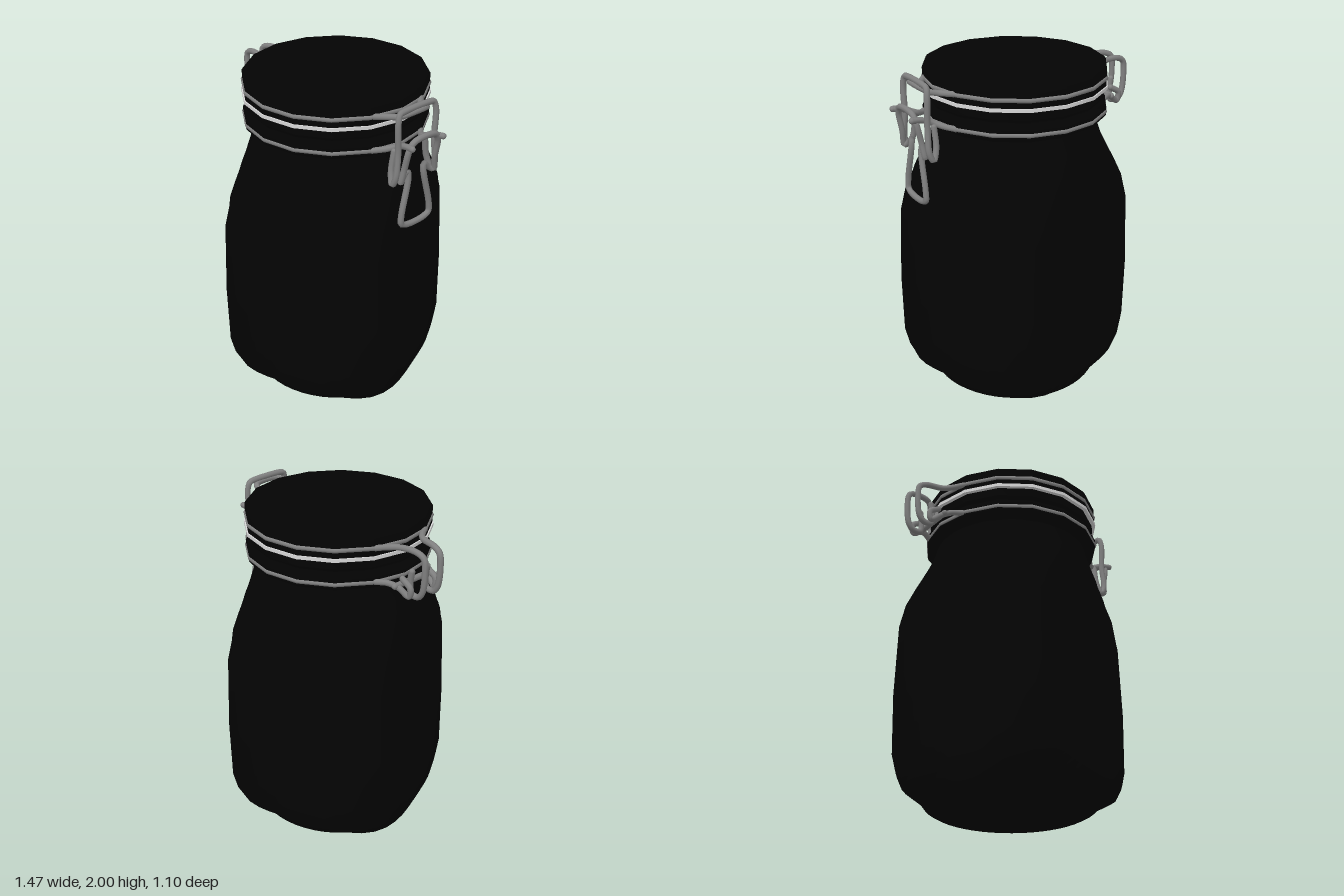
import * as THREE from 'three';
import { toCreasedNormals } from 'three/addons/utils/BufferGeometryUtils.js';

const glass = new THREE.MeshStandardMaterial({ name: 'blackGlass', color: 0x030303 });
const steel = new THREE.MeshStandardMaterial({ name: 'steelWire', color: 0x808080 });
const rubber = new THREE.MeshStandardMaterial({ name: 'paleGasket', color: 0xd8d8d8 });

const FACETS = 16;
const WIRE = 0.018;

function mesh(name, geometry, material) {
  const m = new THREE.Mesh(geometry, material);
  m.name = name;
  return m;
}

// Loft of superellipse rings: [height, half width, squareness exponent]
function loft(sections, n = 48) {
  const pos = [], idx = [];
  sections.forEach(([y, h, e], i) => {
    for (let j = 0; j < n; j++) {
      const t = (j / n) * Math.PI * 2, c = Math.cos(t), s = Math.sin(t);
      const r = h * Math.pow(Math.abs(c) ** e + Math.abs(s) ** e, -1 / e);
      pos.push(r * c, y, r * s);
      if (i === 0) continue;
      const a = (i - 1) * n + j, b = (i - 1) * n + ((j + 1) % n);
      idx.push(a, a + n, b, b, a + n, b + n);
    }
  });
  const g = new THREE.BufferGeometry();
  g.setAttribute('position', new THREE.Float32BufferAttribute(pos, 3));
  g.setIndex(idx);
  return toCreasedNormals(g, 0.8);
}

function lathe(profile) {
  const points = profile.map(([r, y]) => new THREE.Vector2(r, y));
  return toCreasedNormals(new THREE.LatheGeometry(points, FACETS), 0.6);
}

// Bent wire through points given as [outward, up, sideways], ends capped by spheres
function wire(name, points, closed = false) {
  const g = new THREE.Group();
  g.name = name;
  const pts = points.map((p) => new THREE.Vector3(...p));
  const curve = new THREE.CatmullRomCurve3(pts, closed, 'centripetal');
  g.add(mesh(name + 'Rod', new THREE.TubeGeometry(curve, points.length * 7, WIRE, 8, closed), steel));
  if (!closed) {
    for (const p of [pts[0], pts[pts.length - 1]]) {
      const end = mesh(name + 'End', new THREE.SphereGeometry(WIRE, 8, 6), steel);
      end.position.copy(p);
      g.add(end);
    }
  }
  return g;
}

const flip = (points) => points.map(([u, y, v]) => [u, y, -v]);
// Joins a half path to its mirror image
const mirrored = (half) => [...half, ...flip(half).reverse()];

function hoop(name, y) {
  const m = mesh(name, new THREE.TorusGeometry(0.532, 0.016, 8, FACETS), steel);
  m.rotation.x = Math.PI / 2;
  m.position.y = y;
  return m;
}

export function createModel() {
  const model = new THREE.Group();
  model.name = 'clipTopJar';

  // Square jar that turns round at the base and neck
  model.add(mesh('jarBody', loft([
    [0.025, 0.001, 2], [0.025, 0.38, 2], [0.0, 0.44, 2], [0.0, 0.475, 2],
    [0.015, 0.5, 2.05], [0.05, 0.51, 2.4], [0.1, 0.548, 3.6], [0.17, 0.55, 5],
    [0.28, 0.55, 7], [0.65, 0.544, 9], [1.1, 0.53, 9.5], [1.25, 0.525, 6],
    [1.36, 0.523, 3.6], [1.46, 0.52, 2.5], [1.55, 0.505, 2.1], [1.62, 0.488, 2],
    [1.675, 0.475, 2],
  ]), glass));

  // Rim, lid and sealing ring
  model.add(mesh('jarRim', lathe([
    [0.47, 1.665], [0.53, 1.695], [0.542, 1.71], [0.542, 1.76],
    [0.525, 1.783], [0.505, 1.788], [0.505, 1.805],
  ]), glass));
  model.add(mesh('lid', lathe([
    [0, 1.795], [0.51, 1.795], [0.525, 1.815], [0.525, 1.865],
    [0.54, 1.88], [0.54, 1.988], [0.532, 2], [0, 2],
  ]), glass));
  const gasket = mesh('gasket', new THREE.CylinderGeometry(0.548, 0.548, 0.02, FACETS), rubber);
  gasket.position.y = 1.875;
  model.add(gasket);
  model.add(hoop('lidHoop', 1.93), hoop('neckHoop', 1.73));

  // Clamp: lid hook, pivot arms, bail and pull handle
  const clamp = new THREE.Group();
  clamp.name = 'clamp';
  clamp.rotation.y = -Math.PI / 8;
  clamp.add(wire('lidHook', mirrored([
    [0.5, 1.93, 0.18], [0.56, 1.93, 0.12], [0.61, 1.94, 0.1], [0.64, 1.955, 0.08],
  ])));
  const arm = [
    [0.5, 1.73, 0.19], [0.55, 1.74, 0.14], [0.6, 1.76, 0.105],
    [0.67, 1.79, 0.11], [0.735, 1.8, 0.12],
  ];
  clamp.add(wire('pivotArmLeft', arm), wire('pivotArmRight', flip(arm)));
  clamp.add(wire('bail', mirrored([
    [0.6, 1.74, 0.12], [0.6, 1.62, 0.14], [0.625, 1.555, 0.155], [0.65, 1.6, 0.155],
    [0.65, 1.75, 0.14], [0.65, 1.93, 0.145], [0.645, 1.975, 0.13], [0.645, 1.982, 0.1],
  ])));
  clamp.add(wire('pullHandle', mirrored([
    [0.66, 1.285, 0.07], [0.66, 1.305, 0.11], [0.66, 1.36, 0.11], [0.655, 1.58, 0.06],
    [0.65, 1.62, 0.065], [0.65, 1.59, 0.1], [0.665, 1.57, 0.13], [0.68, 1.66, 0.12],
    [0.705, 1.78, 0.11], [0.71, 1.82, 0.08],
  ]), true));
  model.add(clamp);

  // Hinge on the opposite side
  const hinge = new THREE.Group();
  hinge.name = 'hinge';
  hinge.rotation.y = Math.PI - Math.PI / 8;
  const hingeArm = [
    [0.5, 1.93, 0.19], [0.54, 1.93, 0.13], [0.59, 1.93, 0.085], [0.69, 1.925, 0.065],
    [0.735, 1.9, 0.06], [0.745, 1.82, 0.06], [0.73, 1.7, 0.06], [0.7, 1.665, 0.06],
    [0.65, 1.67, 0.06], [0.64, 1.73, 0.06], [0.65, 1.8, 0.06],
  ];
  const hingeEye = [
    [0.5, 1.73, 0.19], [0.56, 1.73, 0.15], [0.61, 1.71, 0.12], [0.67, 1.67, 0.1],
    [0.68, 1.72, 0.1], [0.62, 1.76, 0.1],
  ];
  hinge.add(wire('hingeArmLeft', hingeArm), wire('hingeArmRight', flip(hingeArm)));
  hinge.add(wire('hingeEyeLeft', hingeEye), wire('hingeEyeRight', flip(hingeEye)));
  hinge.add(wire('hingePin', [[0.6, 1.72, 0.14], [0.6, 1.72, -0.14]]));
  model.add(hinge);

  return model;
}
